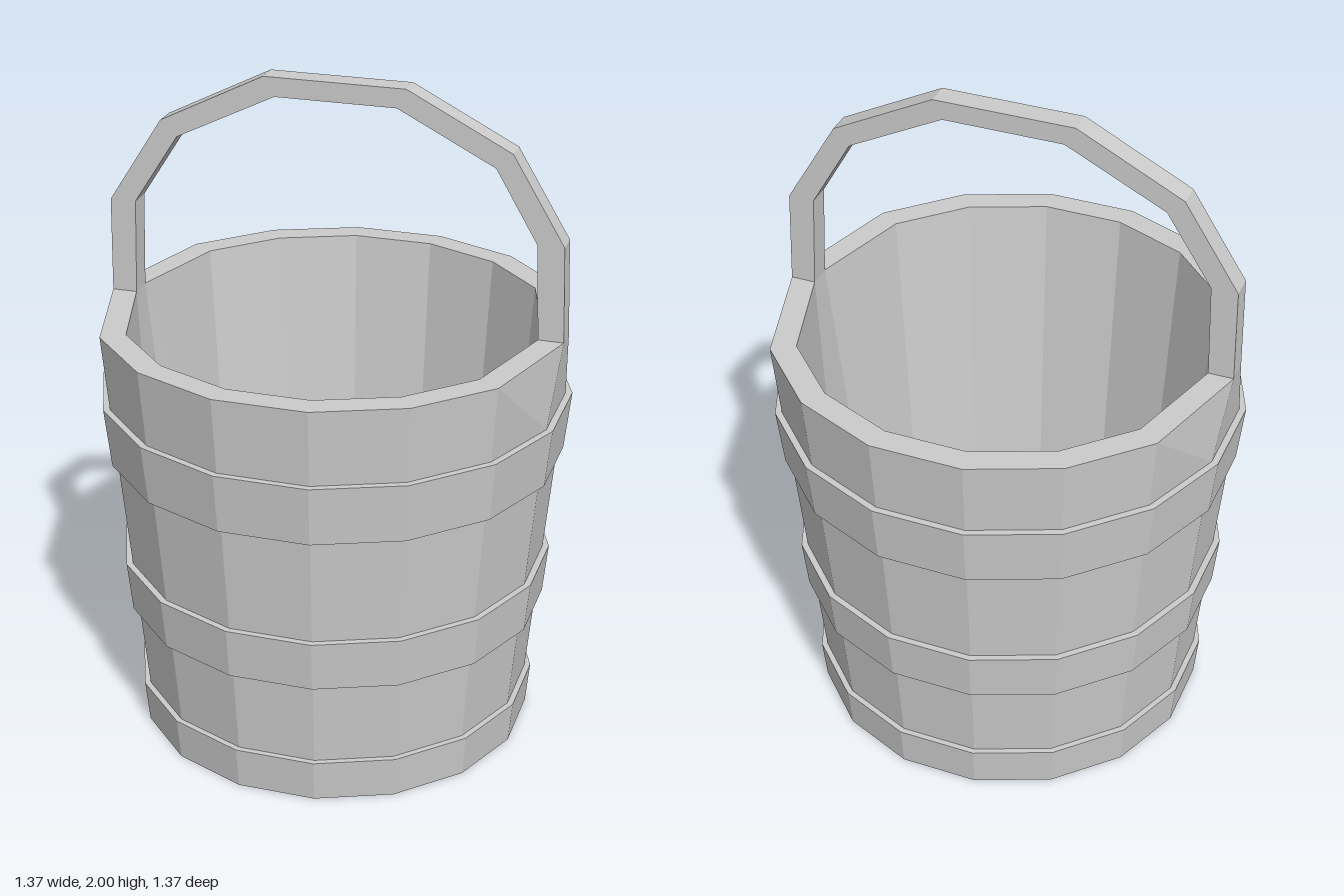
import * as THREE from 'three';

const SIDES = 16;
const HANDLE_HALF = 0.035;
const material = new THREE.MeshStandardMaterial({ color: 0xcccccc, flatShading: true });

// Corners of one 16-sided ring; r is the distance to the flat sides.
// A pinched ring narrows its left and right sides to the width of the handle.
function ring([y, r, pinched]) {
  const points = [];
  for (let i = 0; i < SIDES; i++) {
    const a = ((i + 0.5) / SIDES) * Math.PI * 2;
    const R = r / Math.cos(Math.PI / SIDES);
    const p = new THREE.Vector3(Math.sin(a) * R, y, Math.cos(a) * R);
    if (pinched && Math.abs(p.z) < r * 0.25) p.z = Math.sign(p.z) * HANDLE_HALF;
    points.push(p);
  }
  return points;
}

// Skin a list of [height, radius, pinched] rings with flat faces.
function loft(rows) {
  const rings = rows.map(ring);
  const corners = [];
  for (let k = 0; k < rows.length - 1; k++) {
    for (let i = 0; i < SIDES; i++) {
      const j = (i + 1) % SIDES;
      const a = rings[k][i], b = rings[k][j], c = rings[k + 1][j], d = rings[k + 1][i];
      if (rows[k][1] > 0) corners.push(a, b, d);
      if (rows[k + 1][1] > 0) corners.push(b, c, d);
    }
  }
  const geometry = new THREE.BufferGeometry().setFromPoints(corners);
  geometry.computeVertexNormals();
  return geometry;
}

const wallRadius = (y) => 0.571 + 0.09 * y;

export function createModel() {
  const model = new THREE.Group();
  model.name = 'bucket';
  const add = (name, geometry) => {
    const mesh = new THREE.Mesh(geometry, material);
    mesh.name = name;
    model.add(mesh);
    return mesh;
  };

  // Bucket: underside, outer wall, rim, inner wall and floor
  add('bucketBody', loft([
    [0, 0], [0, wallRadius(0)], [1.07, wallRadius(1.07)],
    [1.3, 0.687, true], [1.3, 0.612, true],
    [0.12, 0.53], [0.12, 0],
  ]));

  // Hoops: bottom height, bottom radius, top height, top radius
  const hoops = {
    lowerHoop: [0, 0.588, 0.13, 0.6],
    middleHoop: [0.4, 0.625, 0.555, 0.64],
    upperHoop: [0.89, 0.668, 1.07, 0.687],
  };
  for (const [name, [y0, r0, y1, r1]] of Object.entries(hoops)) {
    add(name, loft([[y0, wallRadius(y0)], [y0, r0], [y1, r1], [y1, wallRadius(y1)]]));
  }

  // Handle: faceted arch rising from the two pinched sides of the rim
  const outer = [[0.687, 1.3], [0.677, 1.586], [0.522, 1.843], [0.215, 2],
    [-0.203, 2], [-0.517, 1.843], [-0.682, 1.586], [-0.687, 1.3]];
  const inner = [[-0.612, 1.3], [-0.604, 1.586], [-0.468, 1.797], [-0.17, 1.943],
    [0.188, 1.943], [0.475, 1.797], [0.599, 1.586], [0.612, 1.3]];
  const arch = new THREE.Shape([...outer, ...inner].map(([x, y]) => new THREE.Vector2(x, y)));
  const handle = new THREE.ExtrudeGeometry(arch, { depth: HANDLE_HALF * 2, bevelEnabled: false });
  add('handle', handle.translate(0, 0, -HANDLE_HALF));

  return model;
}
